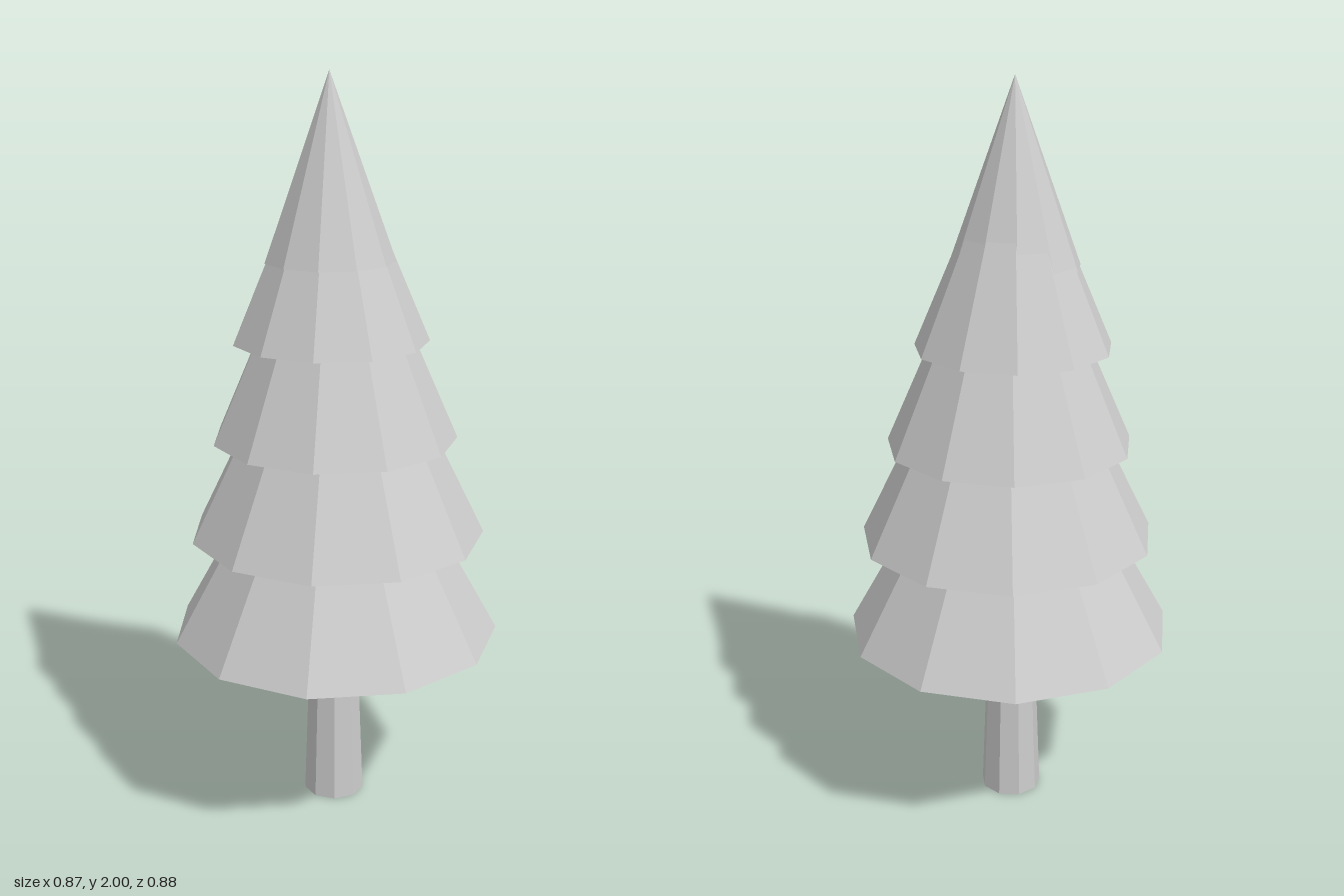
import * as THREE from 'three';

export function createModel() {
  const tree = new THREE.Group();
  tree.name = 'pineTree';
  const grey = new THREE.MeshStandardMaterial({ color: 0xcccccc, flatShading: true });
  grey.name = 'lightGrey';

  // Closed tapered prism from y0 to y1 with one corner towards +x
  function taper(name, sides, x, z, y0, y1, bottomRadius, topRadius) {
    const height = y1 - y0;
    const geometry = new THREE.CylinderGeometry(
      topRadius, bottomRadius, height, sides, 1, false, Math.PI / 2);
    const mesh = new THREE.Mesh(geometry, grey);
    mesh.name = name;
    mesh.position.set(x, y0 + height / 2, z);
    tree.add(mesh);
  }

  // Trunk, narrowing upwards into the lowest branches
  taper('trunk', 9, -0.01, -0.008, 0, 0.54, 0.084, 0.064);

  // Branch tiers, bottom to top: centre x, centre z, base y, tip y, base radius
  const tiers = [
    [-0.009, 0, 0.505, 1.305, 0.446],
    [0, -0.005, 0.785, 1.595, 0.399],
    [-0.001, -0.016, 1.05, 1.80, 0.329],
    [-0.01, -0.021, 1.315, 1.925, 0.261],
    [-0.015, -0.017, 1.525, 2, 0.172],
  ];
  tiers.forEach(([x, z, y0, y1, radius], i) =>
    taper(`branchTier${i + 1}`, 11, x, z, y0, y1, radius, 0));

  return tree;
}
